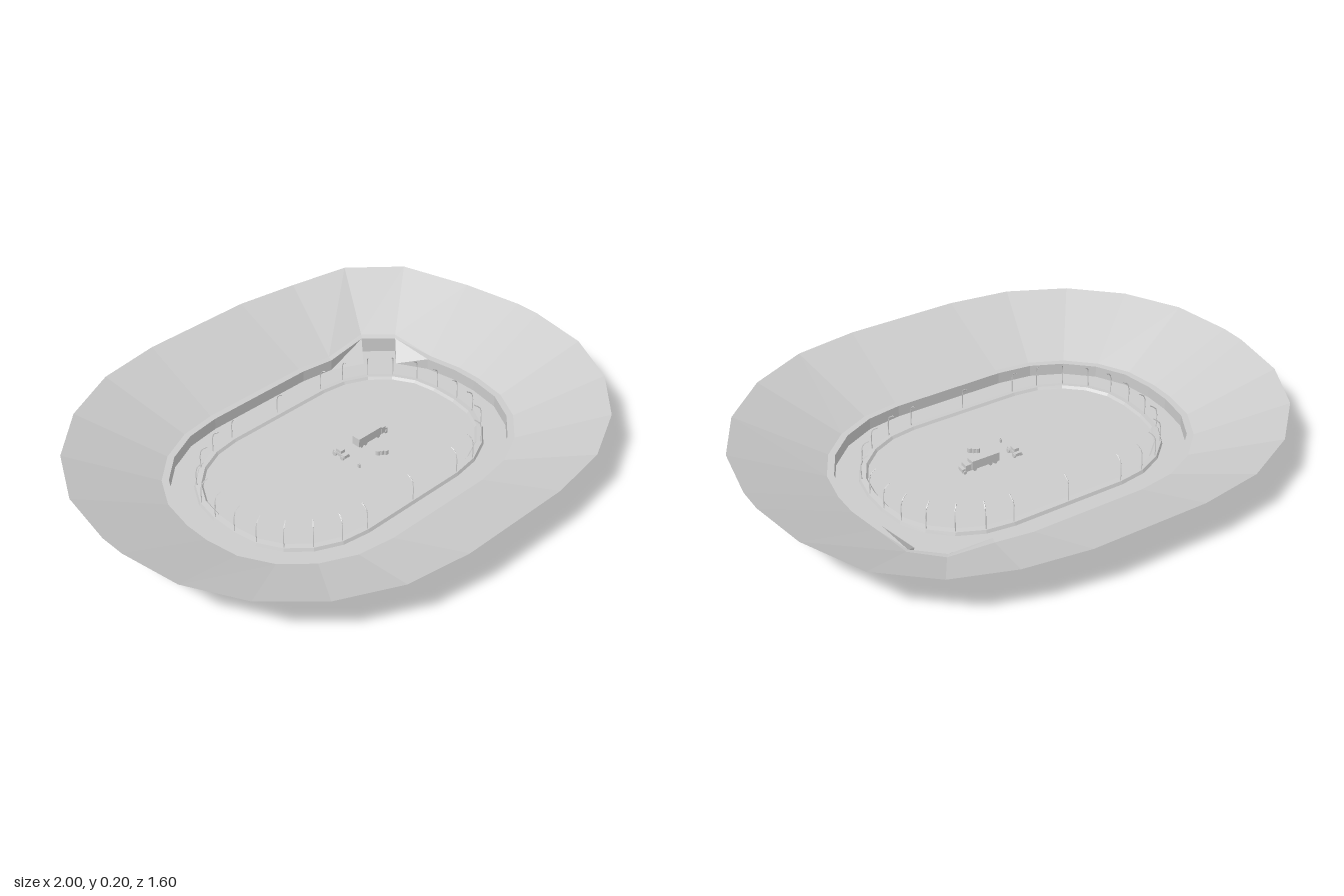
import * as THREE from 'three';

const mat = new THREE.MeshStandardMaterial({ color: 0xcccccc, flatShading: true, side: THREE.DoubleSide });
const V = (x, y, z) => new THREE.Vector3(x, y, z);
const CX = 0.22, CZ = 0.05; // centres of the rounded corners

// Rounded-rectangle loop: six points per corner, 18 degrees apart.
// gate = [54 degree point, 36 degree point] moved for the back left entrance.
function loop(hx, hz, y, gate) {
  const pts = [];
  [[1, 1], [-1, 1], [-1, -1], [1, -1]].forEach(([sx, sz], q) => {
    for (let k = 0; k < 6; k++) {
      const a = (q % 2 ? 5 - k : k) * Math.PI / 10;
      pts.push(V(sx * (CX + (hx - CX) * Math.cos(a)), y, sz * (CZ + (hz - CZ) * Math.sin(a))));
    }
  });
  if (gate) { pts[20] = V(...gate[0]); pts[21] = V(...gate[1]); }
  return pts;
}

function surface(name, tris) {
  const g = new THREE.BufferGeometry().setFromPoints(tris);
  g.computeVertexNormals();
  const m = new THREE.Mesh(g, mat);
  m.name = name;
  return m;
}

// Strip of quads joining two loops, optionally leaving out one segment
function band(name, a, b, skip = -1) {
  const t = [];
  a.forEach((p, i) => {
    if (i === skip) return;
    const j = (i + 1) % a.length;
    t.push(p, b[j], a[j], p, b[i], b[j]);
  });
  return surface(name, t);
}

function disc(name, a) {
  const c = V(0, a[0].y, 0), t = [];
  a.forEach((p, i) => t.push(c, a[(i + 1) % a.length], p));
  return surface(name, t);
}

function add(group, name, geometry, x, y, z) {
  const m = new THREE.Mesh(geometry, mat);
  m.name = name;
  m.position.set(x, y, z);
  group.add(m);
  return m;
}

export function createModel() {
  const root = new THREE.Group();
  root.name = 'arena';

  // Bowl: sloped stand, ledge and wall, bulging at the entrance
  const rim = loop(1, 0.8, 0.19, [[0.685, 0.205, -0.7], [0.865, 0.205, -0.54]]);
  const ledge = loop(0.67, 0.47, 0.045, [[0.54, 0.065, -0.455], [0.635, 0.065, -0.36]]);
  const wallTop = loop(0.645, 0.445, 0.045, [[0.525, 0.06, -0.437], [0.622, 0.06, -0.347]]);
  const wallFoot = loop(0.645, 0.445, 0);
  root.add(band('slopedStand', ledge, rim), band('wallLedge', wallTop, ledge));
  root.add(band('wall', wallFoot, wallTop, 20));

  // Entrance alcove: floor, end wall and two jambs
  const [f1, f2, t1, t2] = [wallFoot[20], wallFoot[21], wallTop[20], wallTop[21]];
  const g1 = V(t1.x, 0, t1.z), g2 = V(t2.x, 0, t2.z);
  root.add(surface('entranceFloor', [f1, f2, g2, f1, g2, g1]));
  root.add(surface('entranceEndWall', [g1, g2, t2, g1, t2, t1]));
  root.add(surface('entranceJambs', [f1, g1, t1, f2, t2, g2]));

  // Floor apron, raised curb and playing field
  const curbFoot = loop(0.56, 0.36, 0), curbOuter = loop(0.555, 0.355, 0.012);
  const curbInner = loop(0.535, 0.335, 0.014), fieldEdge = loop(0.528, 0.328, 0.004);
  root.add(band('apron', wallFoot, curbFoot), band('curbOuterFace', curbFoot, curbOuter));
  root.add(band('curbTop', curbOuter, curbInner), band('curbInnerFace', curbInner, fieldEdge));
  root.add(disc('field', fieldEdge));

  // Posts around the curb, their tips bending inwards
  const posts = new THREE.Group();
  posts.name = 'curbPosts';
  const bases = [...loop(0.55, 0.35, 0.01), V(0, 0.01, 0.35), V(0, 0.01, -0.35)];
  bases.forEach((p) => {
    const core = V(THREE.MathUtils.clamp(p.x, -CX, CX), p.y, THREE.MathUtils.clamp(p.z, -CZ, CZ));
    const inward = core.sub(p).normalize();
    const at = (d, y) => p.clone().addScaledVector(inward, d).setY(y);
    const path = new THREE.CatmullRomCurve3([at(0, 0.01), at(0.001, 0.07), at(0.008, 0.093), at(0.028, 0.106)]);
    add(posts, 'post', new THREE.TubeGeometry(path, 8, 0.0022, 4), 0, 0, 0);
  });
  root.add(posts);

  const F = 0.004; // field height
  // Truck
  const truck = new THREE.Group();
  truck.name = 'truck';
  add(truck, 'cargoBox', new THREE.BoxGeometry(0.112, 0.034, 0.034), 0.126, F + 0.026, -0.003);
  add(truck, 'chassis', new THREE.BoxGeometry(0.145, 0.006, 0.022), 0.146, F + 0.009, -0.003);
  add(truck, 'cab', new THREE.BoxGeometry(0.022, 0.026, 0.03), 0.196, F + 0.021, -0.003);
  add(truck, 'hood', new THREE.BoxGeometry(0.014, 0.014, 0.026), 0.213, F + 0.014, -0.003);
  for (const x of [0.085, 0.105, 0.17, 0.21]) for (const s of [-1, 1])
    add(truck, 'wheel', new THREE.CylinderGeometry(0.007, 0.007, 0.005, 10), x, F + 0.007, -0.003 + s * 0.014).rotation.x = Math.PI / 2;
  root.add(truck);

  // Small car
  const car = new THREE.Group();
  car.name = 'smallCar';
  add(car, 'body', new THREE.BoxGeometry(0.024, 0.012, 0.058), -0.004, F + 0.014, -0.003);
  add(car, 'cabin', new THREE.BoxGeometry(0.02, 0.012, 0.026), -0.004, F + 0.026, -0.006);
  for (const x of [-0.017, 0.009]) for (const z of [-0.022, 0.016])
    add(car, 'wheel', new THREE.CylinderGeometry(0.009, 0.009, 0.007, 10), x, F + 0.009, z).rotation.z = Math.PI / 2;
  root.add(car);

  // Barrels and a small figure
  for (const [x, z] of [[0.1, 0.08], [0.123, 0.096], [0.111, 0.087]])
    add(root, 'barrel', new THREE.CylinderGeometry(0.01, 0.01, 0.018, 10), x, F + 0.009, z);
  add(root, 'figureBody', new THREE.BoxGeometry(0.005, 0.014, 0.009), -0.003, F + 0.007, 0.088);
  add(root, 'figureHead', new THREE.SphereGeometry(0.003, 6, 4), -0.003, F + 0.017, 0.088);

  return root;
}
